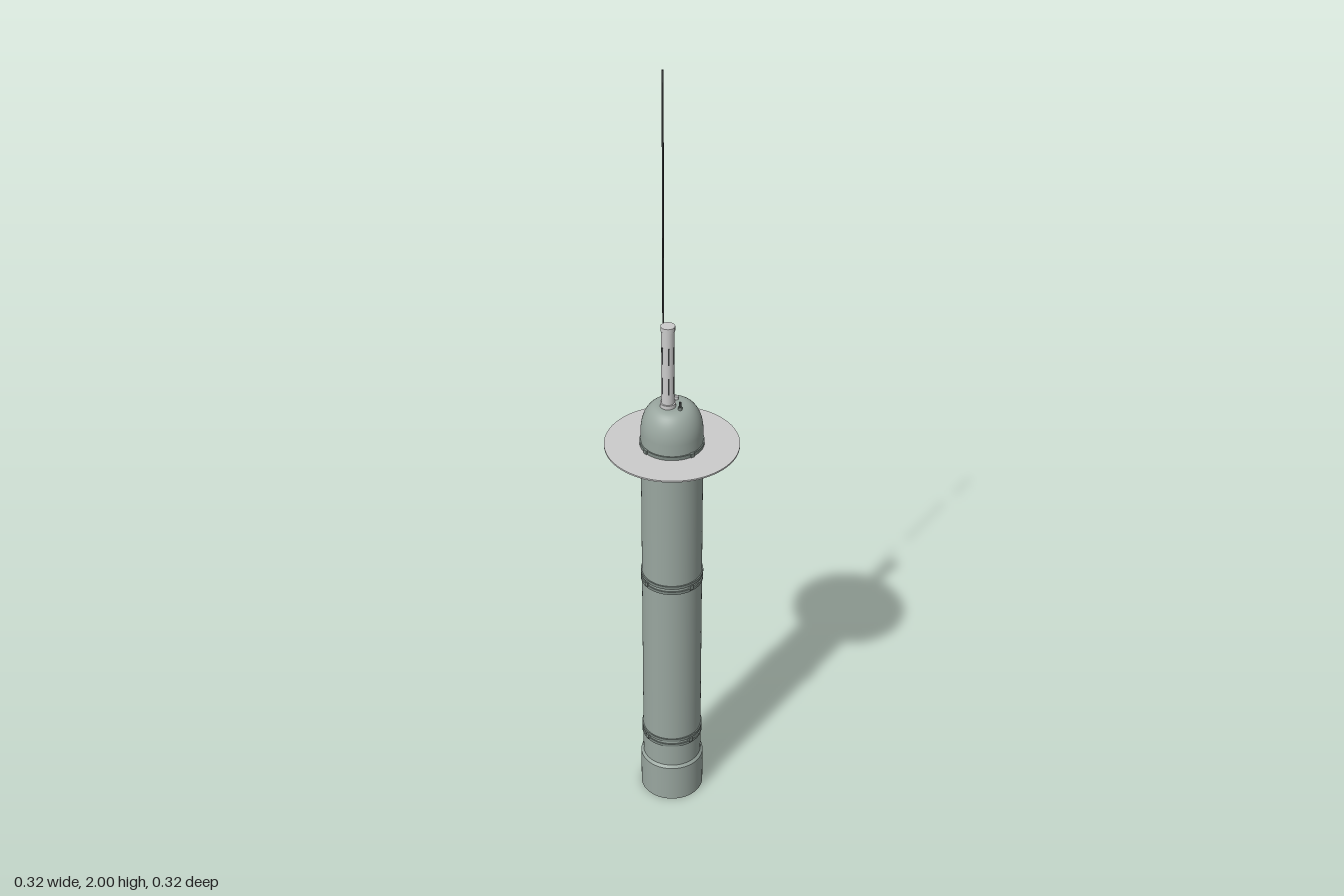
import * as THREE from 'three';

const mat = (color, side = THREE.FrontSide) => new THREE.MeshStandardMaterial({ color, side });
const hull = mat(0x99a69f, THREE.DoubleSide);
const grey = mat(0xcccccc);
const dark = mat(0x3a3d3d);
const band = mat(0x7c8882);

function add(parent, name, geometry, material, x = 0, y = 0, z = 0) {
  const mesh = new THREE.Mesh(geometry, material);
  mesh.name = name;
  mesh.position.set(x, y, z);
  parent.add(mesh);
  return mesh;
}

// Upright cylinder from y0 to y1
function post(parent, name, r, y0, y1, material, x = 0, z = 0, sides = 24) {
  return add(parent, name, new THREE.CylinderGeometry(r, r, y1 - y0, sides), material, x, (y0 + y1) / 2, z);
}

// Lathe made of separate profile runs, so the edges between runs stay sharp
function turned(parent, name, runs, material) {
  const group = new THREE.Group();
  group.name = name;
  for (const run of runs) {
    const points = run.map(([r, y]) => new THREE.Vector2(r, y));
    add(group, name + 'Surface', new THREE.LatheGeometry(points, 64), material);
  }
  parent.add(group);
}

export function createModel() {
  const model = new THREE.Group();
  model.name = 'profilingFloat';

  // Long pressure hull
  add(model, 'hull', new THREE.CylinderGeometry(0.074, 0.074, 0.97, 64, 1, true), hull, 0, 0.585, 0);

  // Rounded top cap with a flat deck
  const dome = [[0.074, 1.07], [0.074, 1.105]];
  for (let i = 1; i <= 12; i++) {
    const a = (i / 12) * Math.PI / 2;
    dome.push([0.034 + 0.04 * Math.cos(a), 1.105 + 0.07 * Math.sin(a)]);
  }
  turned(model, 'topCap', [dome, [[0.034, 1.175], [0, 1.175]]], hull);

  // Hollow skirt at the bottom, with a shallow recess
  turned(model, 'bottomSkirt', [
    [[0.071, 0], [0.08, 0]],
    [[0.08, 0], [0.08, 0.105]],
    [[0.08, 0.105], [0.074, 0.112]],
    [[0.071, 0.05], [0.071, 0]],
    [[0, 0.05], [0.071, 0.05]],
  ], hull);

  // Bladder and protective ribs inside the skirt
  const bladder = add(model, 'bladder', new THREE.SphereGeometry(0.045, 32, 16), band, 0, 0.05, 0);
  bladder.scale.y = 0.8;
  for (let i = 0; i < 4; i++) {
    const a = (i * Math.PI) / 2 + Math.PI / 4;
    const rib = add(model, 'skirtRib', new THREE.BoxGeometry(0.032, 0.035, 0.006), hull,
      0.056 * Math.cos(a), 0.033, -0.056 * Math.sin(a));
    rib.rotation.y = a;
  }

  // Paired clamp bands around the hull, each with four bolted lugs
  for (const y of [0.19, 0.683]) {
    for (const dy of [-0.008, 0.008]) {
      turned(model, 'clampBand', [
        [[0.074, y + dy - 0.004], [0.077, y + dy - 0.004]],
        [[0.077, y + dy - 0.004], [0.077, y + dy + 0.004]],
        [[0.077, y + dy + 0.004], [0.074, y + dy + 0.004]],
      ], band);
    }
  }
  turned(model, 'collarBand', [
    [[0.074, 1.066], [0.077, 1.066]],
    [[0.077, 1.066], [0.077, 1.076]],
    [[0.077, 1.076], [0.074, 1.076]],
  ], band);
  for (const y of [0.19, 0.683, 1.071]) {
    for (let i = 0; i < 4; i++) {
      const a = (i * Math.PI) / 2;
      const lug = add(model, 'bandLug', new THREE.BoxGeometry(0.006, 0.012, 0.01), band,
        0.077 * Math.cos(a), y, -0.077 * Math.sin(a));
      lug.rotation.y = a;
    }
  }

  // Thin damping disc
  post(model, 'dampingDisc', 0.161, 1.063, 1.067, grey, 0, 0, 72);

  // Sensor mast with two tiers of dark slots
  const mx = 0, mz = 0.012;
  post(model, 'mastFoot', 0.019, 1.173, 1.185, grey, mx, mz, 32);
  post(model, 'sensorMast', 0.0155, 1.185, 1.378, grey, mx, mz, 32);
  post(model, 'mastCap', 0.017, 1.378, 1.39, grey, mx, mz, 32);
  for (const y of [1.235, 1.315]) {
    for (let i = 0; i < 6; i++) {
      const a = (i * Math.PI) / 3 + Math.PI / 6;
      const slot = add(model, 'mastSlot', new THREE.BoxGeometry(0.001, 0.045, 0.004), dark,
        mx + 0.0155 * Math.cos(a), y, mz - 0.0155 * Math.sin(a));
      slot.rotation.y = a;
    }
  }

  // Whip antenna in its socket
  post(model, 'antennaSocket', 0.004, 1.165, 1.215, dark, -0.033, 0, 16);
  post(model, 'antenna', 0.0022, 1.2, 2, dark, -0.033, 0, 12);

  // Small deck fittings
  post(model, 'deckPlug', 0.005, 1.165, 1.182, band, 0.031, 0, 16);
  post(model, 'deckPin', 0.003, 1.18, 1.195, dark, 0.031, 0, 12);
  post(model, 'ventPlug', 0.005, 1.17, 1.183, grey, -0.011, -0.022, 16);

  return model;
}
